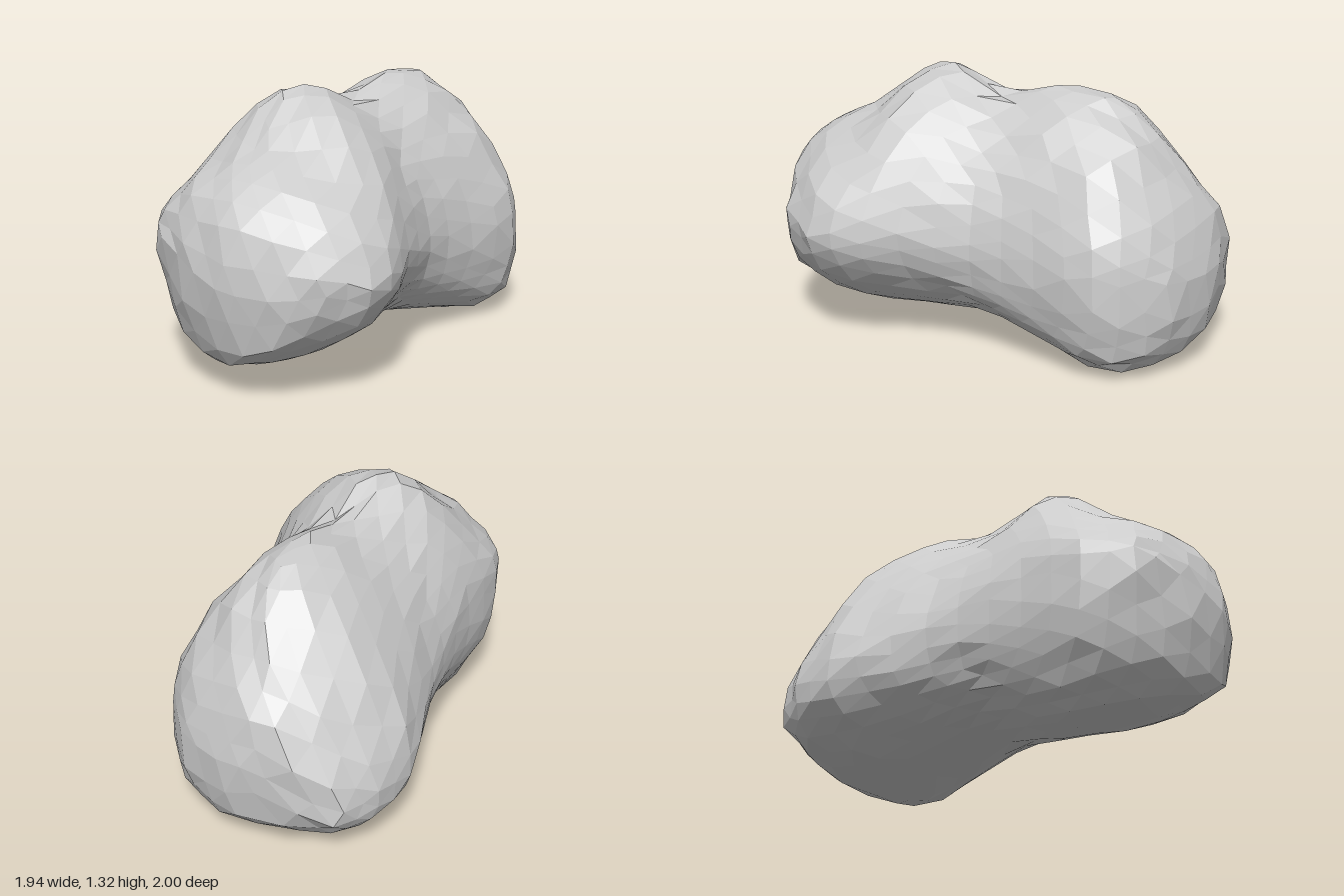
import * as THREE from 'three';

// Cross-sections along the long diagonal, end to end in equal angular steps:
// [top v, top y, bottom v, bottom y, back v, back y, front v, front y]
const SECTIONS = [
  [0.05, 0.55, 0.05, 0.55, 0.05, 0.55, 0.05, 0.55],
  [0.04, 0.84, 0.05, 0.24, -0.18, 0.62, 0.30, 0.54],
  [0.00, 1.00, -0.08, 0.12, -0.46, 0.70, 0.52, 0.57],
  [-0.04, 1.11, -0.18, 0.05, -0.58, 0.66, 0.64, 0.57],
  [-0.06, 1.32, -0.18, 0.04, -0.54, 0.62, 0.55, 0.57],
  [0.00, 1.21, -0.05, 0.11, -0.52, 0.56, 0.48, 0.55],
  [0.06, 1.28, 0.08, 0.06, -0.55, 0.46, 0.53, 0.53],
  [0.07, 1.21, 0.16, 0.00, -0.59, 0.38, 0.61, 0.51],
  [0.04, 0.94, 0.10, 0.04, -0.50, 0.32, 0.48, 0.50],
  [-0.03, 0.74, 0.00, 0.18, -0.33, 0.33, 0.24, 0.48],
  [0.02, 0.50, 0.02, 0.50, 0.02, 0.50, 0.02, 0.50],
];
const tracks = SECTIONS[0].map((_, k) =>
  new THREE.SplineCurve(SECTIONS.map((s, i) => new THREE.Vector2(i, s[k]))));

// Corner fullness of each lobe: 1 is an ellipse, higher is slanted, lower is boxy
const FRONT_LOBE = { topFront: 1.15, topBack: 1.2, bottomFront: 1.2, bottomBack: 0.85 };
const BACK_LOBE = { topFront: 1.3, topBack: 1.3, bottomFront: 0.65, bottomBack: 0.85 };

function shapeVertex(p) {
  // t = 0 is the front left end, t = 1 the back right end
  const t = Math.acos(THREE.MathUtils.clamp(-p.x, -1, 1)) / Math.PI;
  const [topV, topY, bottomV, bottomY, backV, backY, frontV, frontY] =
    tracks.map((c) => c.getPoint(t).y);
  const [capV, capY] = p.y >= 0 ? [topV, topY] : [bottomV, bottomY];
  const [edgeV, edgeY] = p.z >= 0 ? [frontV, frontY] : [backV, backY];

  const corner = (p.y >= 0 ? 'top' : 'bottom') + (p.z >= 0 ? 'Front' : 'Back');
  const power = THREE.MathUtils.lerp(FRONT_LOBE[corner], BACK_LOBE[corner],
    THREE.MathUtils.smoothstep(p.x, -0.4, 0.4));
  const r = Math.hypot(p.y, p.z) || 1;
  const up = Math.pow(Math.abs(p.y / r), power);
  const side = Math.pow(Math.abs(p.z / r), power);

  // Small regular unevenness gives the chipped facets
  const chip = 1 + 0.012 * Math.sin(17 * p.x + 5 * p.y) * Math.sin(15 * p.y - 8 * p.z + 1) +
    0.008 * Math.sin(23 * p.z + 11 * p.x);
  const u = 1.1 * p.x * chip;
  const v = (capV + (edgeV - capV) * side) * chip;
  const y = Math.max(0, 0.6 + (edgeY + (capY - edgeY) * up - 0.6) * chip);
  // Turn the long axis onto the x / -z diagonal
  return p.set((u + v) * Math.SQRT1_2, y, (v - u) * Math.SQRT1_2);
}

export function createModel() {
  const group = new THREE.Group();
  group.name = 'boulder';

  const geometry = new THREE.IcosahedronGeometry(1, 6);
  const pos = geometry.attributes.position;
  const p = new THREE.Vector3();
  for (let i = 0; i < pos.count; i++) {
    // Snap shared corners together so the shell stays closed
    p.fromBufferAttribute(pos, i);
    p.set(...p.toArray().map((c) => Math.round(c * 1e4) / 1e4 + 0)).normalize();
    shapeVertex(p);
    pos.setXYZ(i, p.x, p.y, p.z);
  }
  geometry.computeVertexNormals();

  // Single two-lobed rock
  const rock = new THREE.Mesh(geometry,
    new THREE.MeshStandardMaterial({ color: 0xcccccc, flatShading: true }));
  rock.name = 'rock';
  group.add(rock);
  return group;
}
